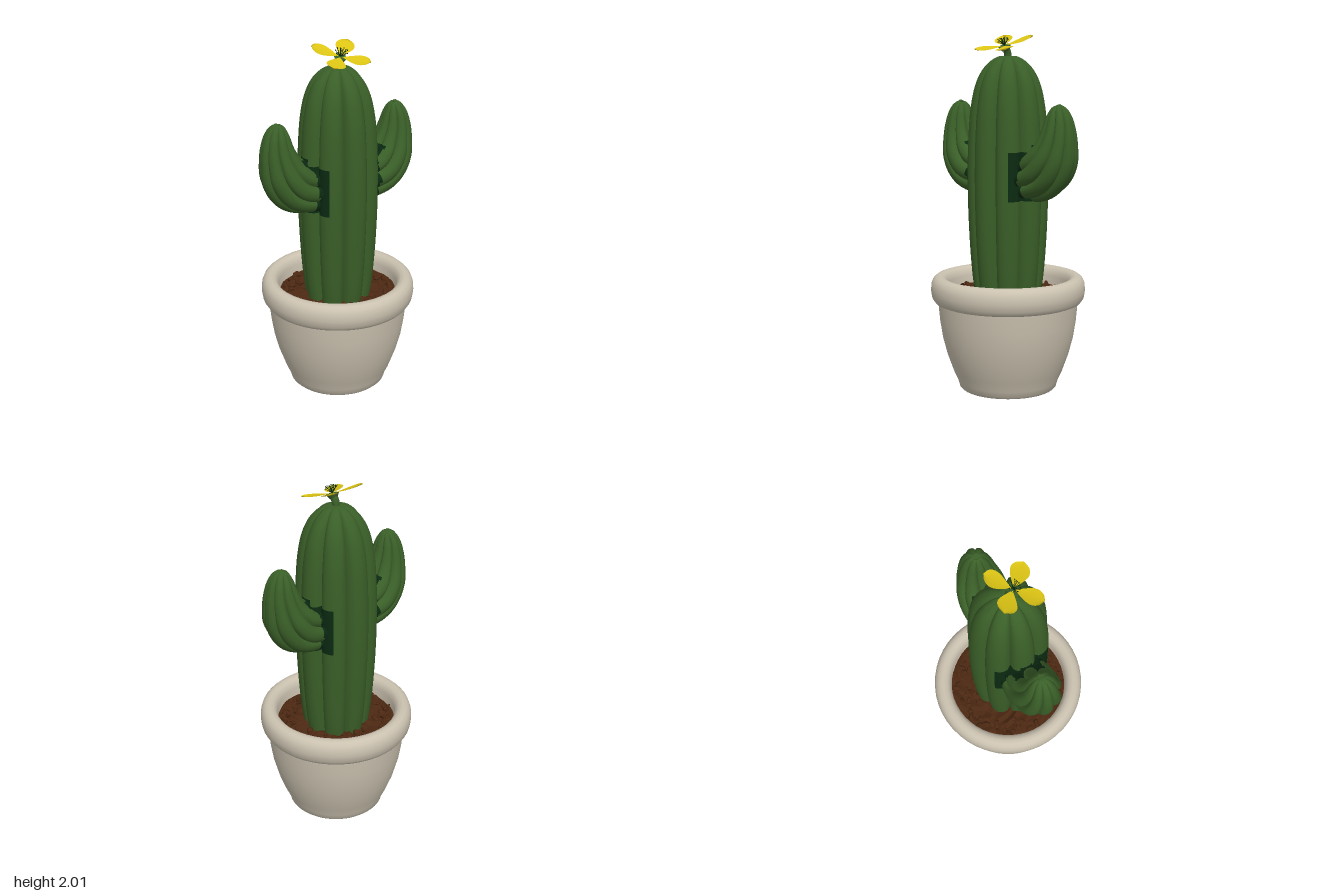
import * as THREE from 'three';
import { toCreasedNormals } from 'three/addons/utils/BufferGeometryUtils.js';

const mat = (name, color, extra = {}) => {
  const m = new THREE.MeshStandardMaterial({ color, ...extra });
  m.name = name;
  return m;
};

// small seeded random
const seeded = (s) => () => {
  s = (s * 16807) % 2147483647;
  return s / 2147483647;
};

const V = (x, y, r) => new THREE.Vector3(x, y, r);

// Ribbed column: each point is (x, y, radius) on a path in the xy plane.
// Faces whose centre passes isDark go in the second material group.
function ribbed(points, rings, isDark) {
  const curve = new THREE.CatmullRomCurve3(points);
  const segs = 80, pos = [], faces = [[], []];
  for (let i = 0; i <= rings; i++) {
    const t = i / rings;
    const p = curve.getPoint(t);
    const d = curve.getPoint(Math.min(1, t + 0.01)).sub(curve.getPoint(Math.max(0, t - 0.01)));
    const len = Math.hypot(d.x, d.y) || 1;
    const nx = d.y / len, ny = -d.x / len;
    for (let j = 0; j < segs; j++) {
      const a = (j / segs) * Math.PI * 2;
      const r = Math.max(p.z, 0.002) * (0.78 + 0.22 * Math.sqrt(Math.abs(Math.cos(4 * a))));
      pos.push(p.x + nx * r * Math.cos(a), p.y + ny * r * Math.cos(a), r * Math.sin(a));
    }
  }
  for (let i = 0; i < rings; i++) {
    for (let j = 0; j < segs; j++) {
      const a = i * segs + j, b = i * segs + ((j + 1) % segs);
      const c = a + segs, d = b + segs;
      const mid = [0, 1, 2].map((k) => (pos[a * 3 + k] + pos[d * 3 + k]) / 2);
      faces[isDark(...mid) ? 1 : 0].push(a, c, b, b, c, d);
    }
  }
  const g = new THREE.BufferGeometry();
  g.setAttribute('position', new THREE.Float32BufferAttribute(pos, 3));
  g.setIndex([...faces[0], ...faces[1]]);
  g.addGroup(0, faces[0].length, 0);
  g.addGroup(faces[0].length, faces[1].length, 1);
  return toCreasedNormals(g, 0.8);
}

// Petal lying along +x, narrow at its base and slightly cupped
function petalGeometry() {
  const g = new THREE.PlaneGeometry(1, 2, 14, 8);
  const p = g.attributes.position;
  for (let i = 0; i < p.count; i++) {
    const u = p.getX(i) + 0.5, v = p.getY(i);
    const w = 0.052 * Math.pow(Math.max(0, Math.sin(Math.PI * Math.pow(u, 1.6))), 0.6);
    p.setXYZ(i, 0.01 + 0.155 * u, 0.012 * u * u + 0.008 * v * v * u, -v * w);
  }
  g.computeVertexNormals();
  return g;
}

export function createModel() {
  const clay = mat('pale clay', 0xcbc2b0);
  const green = mat('cactus green', 0x3a5f28);
  const darkGreen = mat('deep green', 0x0b2a12);
  const soilMat = mat('soil brown', 0x4c2812, { flatShading: true });
  const yellow = mat('petal yellow', 0xdcc414, { side: THREE.DoubleSide });

  const model = new THREE.Group();
  const add = (name, geometry, material, parent = model) => {
    const m = new THREE.Mesh(geometry, material);
    m.name = name;
    parent.add(m);
    return m;
  };

  // Pot with rolled rim and recessed foot
  const profile = [
    [0, 0.04], [0.19, 0.04], [0.21, 0], [0.265, 0], [0.278, 0.012], [0.287, 0.045],
    [0.312, 0.1], [0.348, 0.2], [0.374, 0.3], [0.39, 0.4], [0.399, 0.5],
    [0.417, 0.507], [0.433, 0.53], [0.44, 0.57], [0.438, 0.605], [0.428, 0.633],
    [0.41, 0.649], [0.388, 0.655], [0.365, 0.648], [0.349, 0.63], [0.341, 0.6], [0.338, 0.5], [0, 0.5],
  ].map(([r, y]) => new THREE.Vector2(r, y));
  add('pot', toCreasedNormals(new THREE.LatheGeometry(profile, 48), 0.75), clay);

  // Lumpy soil bed
  const bed = new THREE.RingGeometry(0.12, 0.345, 40, 7).rotateX(-Math.PI / 2);
  const bp = bed.attributes.position;
  for (let i = 0; i < bp.count; i++) {
    const x = bp.getX(i), z = bp.getZ(i);
    bp.setY(i, 0.548 + 0.012 * Math.sin(x * 71 + z * 37) * Math.cos(z * 83 - x * 29));
  }
  add('soilBed', bed, soilMat);

  // Loose clods of earth
  const rand = seeded(77);
  const clods = new THREE.Group();
  clods.name = 'soilClods';
  model.add(clods);
  const clodShape = new THREE.DodecahedronGeometry(1, 0);
  for (let i = 0; i < 90; i++) {
    const a = i * 2.4, r = 0.2 + 0.115 * Math.sqrt(rand());
    const clod = add('clod', clodShape, soilMat, clods);
    clod.position.set(Math.cos(a) * r, 0.55 + rand() * 0.012, Math.sin(a) * r);
    clod.scale.set(0.018 + rand() * 0.016, 0.008 + rand() * 0.01, 0.014 + rand() * 0.01);
    clod.rotation.set(rand() * 0.8, rand() * 6, rand() * 0.8);
  }

  // Main trunk, with deep green patches where the arms join
  const trunk = [
    V(0, 0.52, 0.185), V(0, 0.66, 0.203), V(0, 0.9, 0.22), V(0, 1.2, 0.228), V(0, 1.45, 0.222),
    V(0, 1.62, 0.207), V(0, 1.74, 0.18), V(0, 1.82, 0.14), V(0, 1.87, 0.09), V(0, 1.892, 0.04), V(0, 1.885, 0),
  ];
  const trunkDark = (x, y, z) =>
    Math.abs(x) > 0.165 && y > 1.09 && y < 1.4 - Math.abs(z) * 0.3;
  add('trunk', ribbed(trunk, 60, trunkDark), [green, darkGreen]);

  // Two upturned arms
  const arm = [
    V(0.1, 1.225, 0.12), V(0.2, 1.228, 0.138), V(0.285, 1.265, 0.147), V(0.347, 1.34, 0.138),
    V(0.378, 1.43, 0.112), V(0.388, 1.51, 0.09), V(0.386, 1.575, 0.068), V(0.381, 1.615, 0.042),
    V(0.379, 1.63, 0.018), V(0.379, 1.625, 0),
  ];
  const armDark = (x, y, z) =>
    x < 0.205 || (Math.abs(z) < 0.085 && y > 1.26 && x < 0.29 && y < 1.41);
  const armGeometry = ribbed(arm, 48, armDark);
  add('leftArm', armGeometry, [green, darkGreen]);
  add('rightArm', armGeometry, [green, darkGreen]).rotation.y = Math.PI;

  // Flower, leaning to the front
  const stalk = new THREE.CatmullRomCurve3([V(0, 1.87, 0), V(0, 1.91, 0.004), V(0, 1.95, 0.028)]);
  add('flowerStalk', new THREE.TubeGeometry(stalk, 8, 0.021, 10), green);
  const flower = new THREE.Group();
  flower.name = 'flower';
  flower.position.set(0, 1.95, 0.028);
  flower.rotation.x = 0.33;
  model.add(flower);
  add('calyx', new THREE.CylinderGeometry(0.036, 0.02, 0.028, 12), green, flower).position.y = -0.016;
  const petal = petalGeometry();
  for (let i = 0; i < 4; i++) {
    add('petal', petal, yellow, flower).rotation.y = Math.PI / 4 + (i * Math.PI) / 2;
  }

  // Fine stamens with tiny tips
  const filament = new THREE.CylinderGeometry(0.0012, 0.0016, 1, 4).translate(0, 0.5, 0);
  const tip = new THREE.SphereGeometry(0.0035, 6, 4);
  for (let i = 0; i < 18; i++) {
    const a = i * 2.4, lean = 0.15 + 0.75 * Math.sqrt(i / 18), len = 0.04 + 0.012 * rand();
    const dir = V(Math.sin(lean) * Math.cos(a), Math.cos(lean), Math.sin(lean) * Math.sin(a));
    const f = add('stamen', filament, darkGreen, flower);
    f.scale.y = len;
    f.quaternion.setFromUnitVectors(V(0, 1, 0), dir);
    add('stamenTip', tip, darkGreen, flower).position.copy(dir).multiplyScalar(len);
  }
  return model;
}
